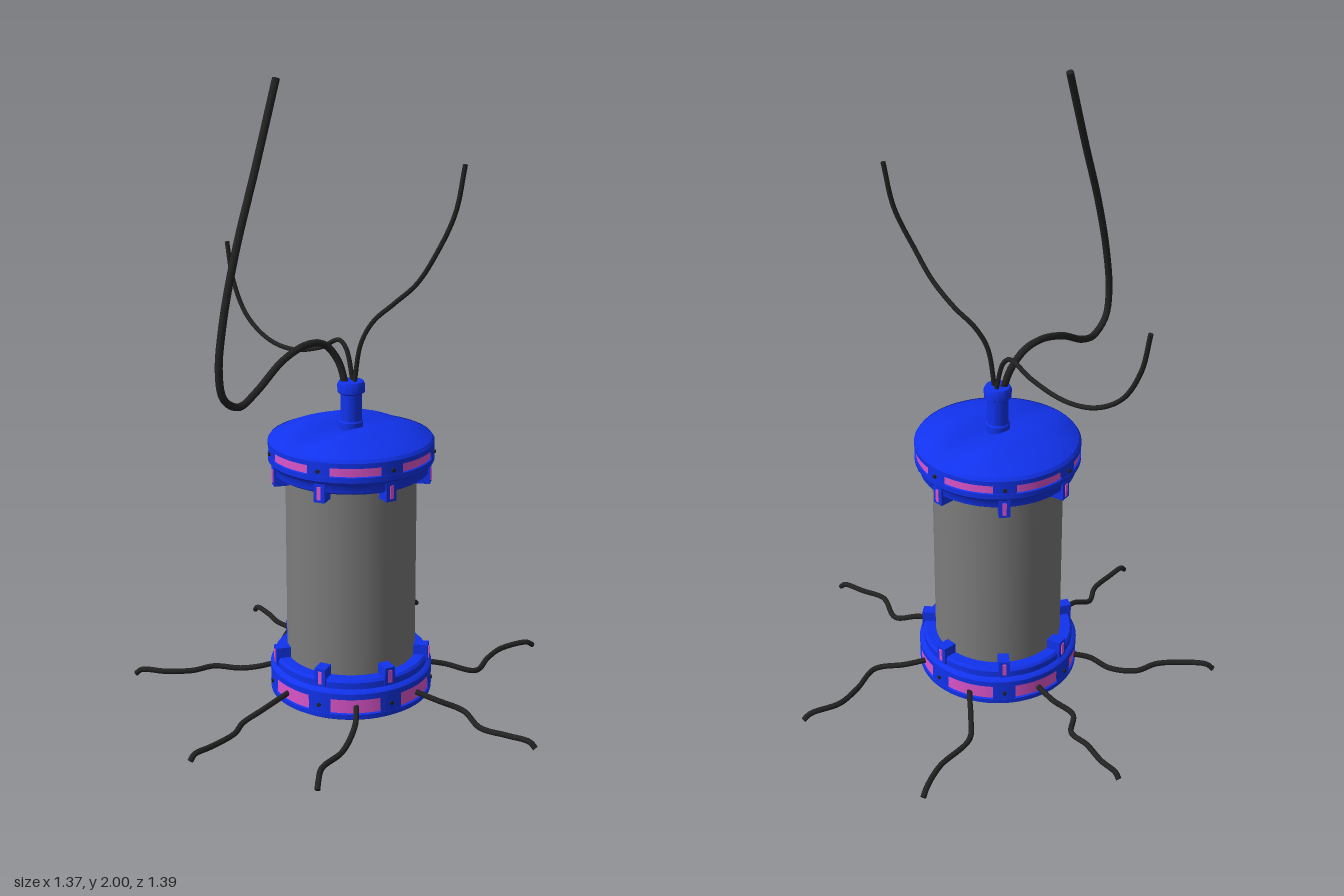
import * as THREE from 'three';
import { toCreasedNormals } from 'three/addons/utils/BufferGeometryUtils.js';

const mat = (color) => new THREE.MeshStandardMaterial({ color, side: THREE.DoubleSide });
const CX = 0.014, CZ = -0.011, SEGMENTS = 7, STEP = (Math.PI * 2) / SEGMENTS, FIRST = -0.315;

export function createModel() {
  const model = new THREE.Group();
  const blue = mat(0x1133ee), pink = mat(0xdd55cc), grey = mat(0x7c7c7c), black = mat(0x222222);

  // The canister has its own axis, slightly off the middle of the cables
  const canister = new THREE.Group();
  canister.name = 'canister';
  canister.position.set(CX, 0, CZ);
  model.add(canister);

  const add = (name, geometry, material, parent = canister) => {
    const mesh = new THREE.Mesh(geometry, material);
    mesh.name = name;
    parent.add(mesh);
    return mesh;
  };
  const lathe = (name, points, material) => add(name, toCreasedNormals(
    new THREE.LatheGeometry(points.map(([r, y]) => new THREE.Vector2(r, y)), 64), 0.6), material);

  // Glass body
  const body = add('body', new THREE.CylinderGeometry(0.209, 0.209, 0.68, 64, 1, true), grey);
  body.position.y = 0.46;

  // Base with a recessed band for the light panels
  lathe('base', [[0, 0.015], [0.252, 0.015], [0.263, 0.022], [0.264, 0.038], [0.254, 0.042],
    [0.254, 0.086], [0.264, 0.09], [0.264, 0.108], [0.256, 0.117], [0.25, 0.119],
    [0.25, 0.14], [0.243, 0.148], [0.205, 0.148]], blue);

  // Top cap rim, also with a recessed band
  lathe('capRim', [[0.205, 0.762], [0.238, 0.762], [0.248, 0.769], [0.25, 0.79], [0.258, 0.8],
    [0.264, 0.806], [0.264, 0.823], [0.255, 0.826], [0.255, 0.85], [0.264, 0.853],
    [0.264, 0.868], [0.257, 0.878]], blue);

  // Domed lid with a shallow groove pressed across it
  const domePoints = [];
  for (let i = 0; i <= 24; i++) {
    const r = 0.26 * (1 - i / 24);
    domePoints.push(new THREE.Vector2(r, 0.874 + 0.05 * (1 - Math.pow(r / 0.26, 3))));
  }
  const dome = new THREE.LatheGeometry(domePoints, 64);
  const p = dome.attributes.position;
  for (let i = 0; i < p.count; i++) {
    const x = p.getX(i), z = p.getZ(i);
    const across = z * 0.99 - x * 0.14;
    const fade = 1 - Math.pow(Math.hypot(x, z) / 0.261, 4);
    const groove = -0.024 * Math.exp(-Math.pow(across / 0.05, 2));
    const ridge = 0.006 * Math.exp(-Math.pow((Math.abs(across) - 0.11) / 0.04, 2));
    p.setY(i, p.getY(i) + fade * (groove + ridge));
  }
  dome.computeVertexNormals();
  add('lid', dome, blue);

  // Neck and collar where the upper cables leave
  lathe('neck', [[0.038, 0.885], [0.038, 0.925], [0.034, 0.93], [0.034, 1.015], [0.043, 1.021],
    [0.044, 1.045], [0.039, 1.056], [0, 1.056]], blue);

  // Light panels, rib studs and clips around both rings
  const rings = [
    { name: 'base', panelY: 0.064, panelH: 0.045, clipY: 0.152 },
    { name: 'cap', panelY: 0.838, panelH: 0.026, clipY: 0.765 },
  ];
  for (const ring of rings) {
    for (let i = 0; i < SEGMENTS; i++) {
      const angle = FIRST + i * STEP;
      const panel = add(ring.name + 'LightPanel', new THREE.CylinderGeometry(
        0.259, 0.259, ring.panelH, 10, 1, true, angle + 0.14, STEP - 0.28), pink);
      panel.position.y = ring.panelY;

      // Solid blue rib between neighbouring panels
      const rib = add(ring.name + 'Rib', new THREE.CylinderGeometry(
        0.263, 0.263, ring.panelH + 0.008, 6, 1, true, angle - 0.14, 0.28), blue);
      rib.position.y = ring.panelY;

      const spoke = new THREE.Group();
      spoke.name = ring.name + 'Clip';
      spoke.rotation.y = angle;
      canister.add(spoke);
      add('clipBlock', new THREE.BoxGeometry(0.036, 0.06, 0.05), blue, spoke)
        .position.set(0, ring.clipY, 0.23);
      add('clipLight', new THREE.BoxGeometry(0.012, 0.042, 0.006), pink, spoke)
        .position.set(0, ring.clipY, 0.255);
      const stud = add('stud', new THREE.CylinderGeometry(0.006, 0.006, 0.01, 10), black, spoke);
      stud.rotation.x = Math.PI / 2;
      stud.position.set(0, ring.panelY, 0.264);
    }
  }

  // Cables: smooth tubes with closed ends
  const cable = (name, points, radius) => {
    const curve = new THREE.CatmullRomCurve3(points.map((q) => new THREE.Vector3(...q)));
    add(name, new THREE.TubeGeometry(curve, 80, radius, 10), black, model);
    for (const t of [0, 1]) {
      const end = add(name + 'End', new THREE.CircleGeometry(radius, 10), black, model);
      const at = curve.getPointAt(t);
      end.position.copy(at);
      end.lookAt(at.clone().addScaledVector(curve.getTangentAt(t), t ? 1 : -1));
    }
  };

  cable('longCable', [[0, 1.04, -0.02], [-0.01, 1.12, -0.045], [-0.05, 1.175, -0.065],
    [-0.12, 1.186, -0.07], [-0.23, 1.157, -0.065], [-0.36, 1.09, -0.045], [-0.455, 1.066, -0.022],
    [-0.52, 1.105, -0.015], [-0.538, 1.19, -0.012], [-0.515, 1.34, -0.013],
    [-0.455, 1.53, -0.02], [-0.36, 1.75, -0.035], [-0.256, 1.996, -0.053]], 0.0115);
  cable('frontCable', [[0.015, 1.04, 0], [0.026, 1.18, 0.02], [0.05, 1.25, 0.05],
    [0.078, 1.31, 0.11], [0.088, 1.38, 0.19], [0.1, 1.47, 0.25], [0.135, 1.6, 0.297],
    [0.156, 1.745, 0.315]], 0.0075);
  cable('backCable', [[0.028, 1.04, -0.015], [0.028, 1.15, -0.045], [0.028, 1.174, -0.075],
    [0.028, 1.137, -0.155], [0.028, 1.108, -0.285], [0.028, 1.125, -0.4], [0.028, 1.19, -0.5],
    [0.028, 1.3, -0.562], [0.028, 1.425, -0.588]], 0.0075);

  // Ground cables: plan paths (x, z) that drop from the base and lie flat
  const groundPaths = [
    [[-0.115, -0.24], [-0.15, -0.28], [-0.172, -0.35], [-0.22, -0.425], [-0.294, -0.453], [-0.36, -0.515], [-0.416, -0.6]],
    [[0.096, -0.26], [0.105, -0.33], [0.095, -0.405], [0.168, -0.46], [0.179, -0.53], [0.208, -0.61], [0.223, -0.692]],
    [[0.23, -0.08], [0.27, -0.115], [0.325, -0.17], [0.408, -0.238], [0.556, -0.252], [0.678, -0.297]],
    [[0.235, 0.11], [0.29, 0.16], [0.354, 0.24], [0.464, 0.21], [0.556, 0.198], [0.678, 0.24]],
    [[0.046, 0.245], [0.068, 0.316], [0.104, 0.39], [0.05, 0.508], [0.068, 0.593], [0.087, 0.69]],
    [[-0.16, 0.175], [-0.24, 0.242], [-0.35, 0.294], [-0.46, 0.316], [-0.542, 0.375]],
    [[-0.24, -0.05], [-0.36, -0.045], [-0.425, -0.06], [-0.5, -0.025], [-0.6, -0.018], [-0.684, -0.019]],
  ];
  for (const path of groundPaths) {
    const last = path.length - 1;
    const points = path.map(([x, z], i) => [x, i === 0 ? 0.062 : i === 1 ? 0.048 : i === last ? 0.01 : 0.026, z]);
    // Keep the run level until just before the drooping tip
    const [a, b] = [path[last - 1], path[last]];
    points.splice(last, 0, [a[0] + (b[0] - a[0]) * 0.8, 0.026, a[1] + (b[1] - a[1]) * 0.8]);
    cable('groundCable', points, 0.009);
  }
  return model;
}
